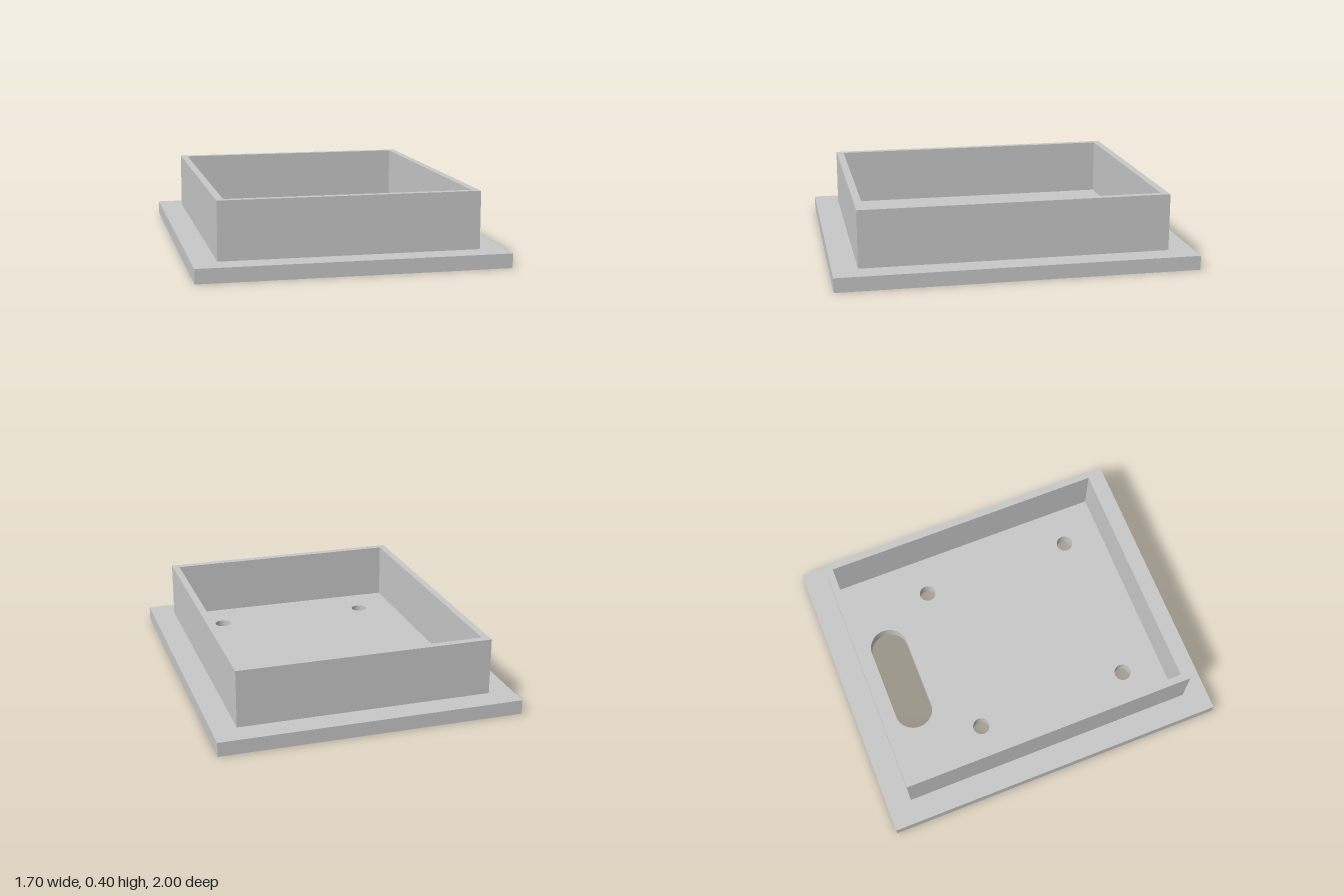
import * as THREE from 'three';

// Rectangle centred on the origin; w along x, d along z
function rectangle(PathType, w, d) {
  const path = new PathType();
  path.moveTo(-w / 2, -d / 2);
  path.lineTo(w / 2, -d / 2);
  path.lineTo(w / 2, d / 2);
  path.lineTo(-w / 2, d / 2);
  path.closePath();
  return path;
}

// Extrude a plan (shape y = -z) upwards from y0 to y1
function slab(name, shape, y0, y1, material) {
  const geometry = new THREE.ExtrudeGeometry(shape, { depth: y1 - y0, bevelEnabled: false, curveSegments: 24 });
  geometry.rotateX(-Math.PI / 2);
  geometry.translate(0, y0, 0);
  const mesh = new THREE.Mesh(geometry, material);
  mesh.name = name;
  return mesh;
}

export function createModel() {
  const group = new THREE.Group();
  group.name = 'mountingTray';
  const lightGrey = new THREE.MeshStandardMaterial({ color: 0xc8c8c8 });
  lightGrey.name = 'lightGrey';

  // Base plate with four screw holes and a cable slot
  const plate = rectangle(THREE.Shape, 1.7, 2);
  for (const x of [-0.453, 0.453]) {
    for (const z of [-0.323, 0.585]) {
      plate.holes.push(new THREE.Path().absarc(x, -z, 0.048, 0, Math.PI * 2, true));
    }
  }
  const slot = new THREE.Path();
  slot.absarc(0.212, 0.66, 0.11, -Math.PI / 2, Math.PI / 2, false);
  slot.absarc(-0.212, 0.66, 0.11, Math.PI / 2, Math.PI * 1.5, false);
  slot.closePath();
  plate.holes.push(slot);
  group.add(slab('basePlate', plate, 0, 0.08, lightGrey));

  // Thin upright wall around the tray
  const wall = rectangle(THREE.Shape, 1.428, 1.72);
  wall.holes.push(rectangle(THREE.Path, 1.348, 1.636));
  group.add(slab('rimWall', wall, 0.08, 0.4, lightGrey));

  return group;
}
